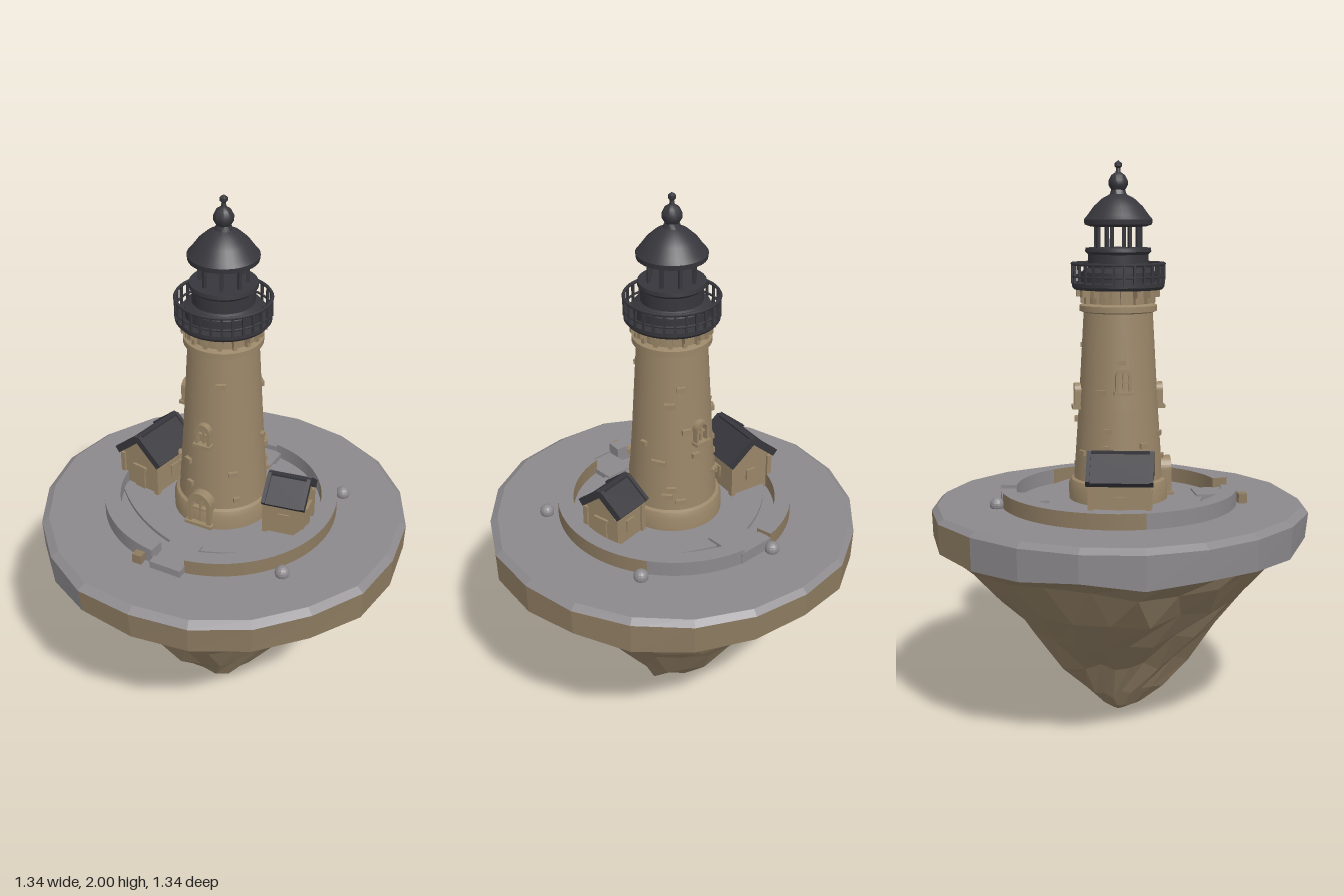
import * as THREE from 'three';
import { toCreasedNormals } from 'three/addons/utils/BufferGeometryUtils.js';

const mat = (name, color, opts = {}) => {
  const m = new THREE.MeshStandardMaterial({ color, ...opts });
  m.name = name;
  return m;
};

export function createModel() {
  const tan = mat('tan stone', 0x9a8668);
  const rockTan = mat('rock tan', 0x8d7b61, { flatShading: true });
  const grey = mat('grey stone', 0x8c898d, { flatShading: true });
  const dark = mat('dark iron', 0x36363c);
  const model = new THREE.Group();
  model.name = 'lighthouseIsland';

  let seed = 11;
  const rnd = () => (seed = (seed * 16807) % 2147483647) / 2147483647;

  const add = (parent, name, geo, material, x = 0, y = 0, z = 0) => {
    const m = new THREE.Mesh(geo, material);
    m.name = name;
    m.position.set(x, y, z);
    parent.add(m);
    return m;
  };
  const box = (parent, name, w, h, d, material, x, y, z) =>
    add(parent, name, new THREE.BoxGeometry(w, h, d), material, x, y, z);
  const lathe = (parent, name, pts, material, seg = 40) =>
    add(parent, name, toCreasedNormals(new THREE.LatheGeometry(
      pts.map(([r, y]) => new THREE.Vector2(r, y)), seg), 0.6), material);
  // Flat plan shape extruded upward
  const slab = (parent, name, shape, h, y, material) => {
    const g = new THREE.ExtrudeGeometry(shape, { depth: h, bevelEnabled: false, curveSegments: 24 });
    return add(parent, name, g.rotateX(-Math.PI / 2), material, 0, y, 0);
  };

  // Floating rock: sections of [y, radius at +x, +z, -x, -z]
  const sections = [
    [0.80, 0.645, 0.65, 0.645, 0.655], [0.782, 0.67, 0.68, 0.67, 0.675],
    [0.68, 0.668, 0.67, 0.668, 0.672], [0.655, 0.61, 0.63, 0.58, 0.63],
    [0.59, 0.53, 0.55, 0.49, 0.54], [0.465, 0.434, 0.434, 0.41, 0.44],
    [0.34, 0.30, 0.345, 0.285, 0.34], [0.21, 0.225, 0.25, 0.155, 0.24],
    [0.09, 0.14, 0.17, 0.095, 0.13], [0.03, 0.055, 0.09, 0.06, 0.06],
    [0, 0.015, 0.02, 0.015, 0.015]];
  const N = 20;
  const ridge = Array.from({ length: N }, () => rnd() - 0.5);
  const rings = sections.map(([y, px, pz, nx, nz], i) => Array.from({ length: N }, (_, j) => {
    const a = (j + (i > 2 ? (i % 2) * 0.4 : 0)) / N * Math.PI * 2;
    const s = Math.sin(a), c = Math.cos(a);
    let r = (s > 0 ? px : nx) * s * s + (c > 0 ? pz : nz) * c * c;
    r *= i < 3 ? 1 + ridge[j] * 0.025 : 1 + ridge[j] * 0.13 + (rnd() - 0.5) * 0.07;
    const dy = i === 2 ? ridge[(j + 5) % N] * 0.03 : i > 3 && i < 9 ? (rnd() - 0.5) * 0.04 : 0;
    return [r * s, y + dy, r * c];
  }));
  const faces = { grey: [], tan: [] };
  for (let j = 0; j < N; j++) {
    const k = (j + 1) % N;
    faces.grey.push(...rings[0][j], ...rings[0][k], 0, 0.8, 0);
    faces.tan.push(...rings[10][k], ...rings[10][j], 0, 0, 0);
    for (let i = 0; i < rings.length - 1; i++) {
      const [A, B, C, D] = [rings[i][j], rings[i][k], rings[i + 1][j], rings[i + 1][k]];
      const patch = i === 0 || (i === 1 && j >= 12 && j <= 18);
      faces[patch ? 'grey' : 'tan'].push(...A, ...C, ...B, ...C, ...D, ...B);
    }
  }
  const faceted = (name, list, material) => {
    const g = new THREE.BufferGeometry();
    g.setAttribute('position', new THREE.Float32BufferAttribute(list, 3));
    g.computeVertexNormals();
    add(model, name, g, material);
  };
  faceted('islandTop', faces.grey, grey);
  faceted('islandRock', faces.tan, rockTan);

  // Ring wall in arcs, tan or grey on the sides
  const arc = (from, to, side) => {
    const a = from * Math.PI / 180, b = to * Math.PI / 180, s = new THREE.Shape();
    s.absarc(-0.01, 0, 0.425, a, b, false);
    s.absarc(-0.01, 0, 0.368, b, a, true);
    slab(model, 'ringWall', s, 0.057, 0.798, [grey, side]);
  };
  arc(-79, 35, rockTan);
  arc(35, 82, grey);
  arc(100, 185, rockTan);
  arc(185, 264, grey);

  // Courtyard paving, paths and steps
  const court = new THREE.Shape();
  court.moveTo(-0.37, 0.1);
  court.lineTo(-0.37, -0.1);
  court.quadraticCurveTo(-0.23, -0.25, -0.05, -0.3);
  court.lineTo(0.07, -0.3);
  court.quadraticCurveTo(0.23, -0.25, 0.36, -0.1);
  court.lineTo(0.36, 0.1);
  court.quadraticCurveTo(0.22, 0.25, 0.06, 0.3);
  court.lineTo(-0.08, 0.3);
  court.quadraticCurveTo(-0.25, 0.25, -0.37, 0.1);
  slab(model, 'courtyard', court, 0.015, 0.798, grey);
  box(model, 'frontPath', 0.115, 0.02, 0.16, grey, 0.01, 0.81, 0.36);
  box(model, 'frontStep', 0.12, 0.03, 0.035, grey, 0.01, 0.812, 0.43);
  box(model, 'backPath', 0.14, 0.025, 0.13, grey, -0.01, 0.81, -0.32);
  box(model, 'backStep', 0.14, 0.045, 0.055, grey, -0.01, 0.82, -0.395);
  box(model, 'gatePost', 0.035, 0.04, 0.03, rockTan, -0.1, 0.815, 0.435);
  for (const [x, z] of [[-0.07, -0.44], [0.37, -0.25], [0.37, 0.27]])
    add(model, 'roundStone', new THREE.SphereGeometry(0.026, 14, 10), grey, x, 0.812, z);

  // Tower shaft with plinth and cornice
  const tower = new THREE.Group();
  tower.name = 'tower';
  model.add(tower);
  lathe(tower, 'shaft', [[0.178, 0.798], [0.178, 0.865], [0.17, 0.885], [0.159, 0.89], [0.141, 1.15],
    [0.122, 1.48], [0.137, 1.485], [0.137, 1.505], [0.118, 1.512], [0.118, 1.57]], tan);
  const around = (n, fn) => {
    for (let i = 0; i < n; i++) {
      const g = new THREE.Group();
      g.rotation.y = i / n * Math.PI * 2;
      tower.add(g);
      fn(g);
    }
  };
  around(16, g => {
    g.name = 'corbel';
    box(g, 'corbelUpper', 0.018, 0.025, 0.035, tan, 0, 1.547, 0.13);
    box(g, 'corbelLower', 0.014, 0.025, 0.02, tan, 0, 1.525, 0.122);
  });
  const radiusAt = y => 0.159 - 0.037 * (y - 0.89) / 0.59;
  for (let i = 0; i < 26; i++) {
    const g = new THREE.Group(), y = i < 14 ? 0.91 + rnd() * 0.13 : 1.05 + rnd() * 0.38;
    g.name = 'raisedStone';
    g.rotation.y = rnd() * Math.PI * 2;
    box(g, 'stoneBlock', 0.022 + rnd() * 0.016, 0.018, 0.02, tan, 0, y, radiusAt(y));
    tower.add(g);
  }

  // Arched frame used for the door and windows
  const archPath = (P, w, h) => {
    const p = new P();
    p.moveTo(-w / 2, 0);
    p.lineTo(w / 2, 0);
    p.lineTo(w / 2, h - w / 2);
    p.absarc(0, h - w / 2, w / 2, 0, Math.PI, false);
    p.closePath();
    return p;
  };
  const opening = (name, w, h, y, turn, r) => {
    const g = new THREE.Group();
    g.name = name;
    g.rotation.y = turn;
    tower.add(g);
    const s = archPath(THREE.Shape, w, h);
    s.holes.push(archPath(THREE.Path, w * 0.66, h * 0.84));
    const opt = { depth: 0.04, bevelEnabled: false, curveSegments: 8 };
    add(g, 'frame', new THREE.ExtrudeGeometry(s, opt), tan, 0, y, r - 0.025);
    box(g, 'sill', w * 1.2, 0.012, 0.045, tan, 0, y, r);
    box(g, 'mullion', 0.007, h * 0.85, 0.02, tan, 0, y + h * 0.45, r - 0.004);
    box(g, 'crossbar', w * 0.7, 0.007, 0.02, tan, 0, y + h * 0.45, r - 0.004);
  };
  opening('door', 0.09, 0.13, 0.83, 0, 0.173);
  opening('frontWindow', 0.055, 0.085, 1.145, 0, 0.143);
  opening('backWindow', 0.055, 0.085, 1.145, Math.PI, 0.143);
  opening('leftWindow', 0.055, 0.085, 1.21, -Math.PI / 2, 0.139);

  // Gallery with railing
  lathe(tower, 'galleryAndDrum', [[0.1, 1.56], [0.155, 1.56], [0.163, 1.57], [0.163, 1.583], [0.13, 1.585],
    [0.13, 1.62], [0.106, 1.635], [0.106, 1.68], [0.116, 1.69], [0.114, 1.703], [0, 1.705]], dark);
  for (const y of [1.605, 1.648]) {
    const rail = add(tower, 'rail', new THREE.TorusGeometry(0.161, y > 1.62 ? 0.006 : 0.004, 6, 40), dark, 0, y, 0);
    rail.rotation.x = Math.PI / 2;
  }
  around(28, g => {
    g.name = 'baluster';
    box(g, 'balusterBar', 0.008, 0.07, 0.008, dark, 0, 1.615, 0.161);
  });

  // Open lantern room and domed roof
  around(8, g => {
    g.name = 'lanternPost';
    g.rotation.y += Math.PI / 8;
    box(g, 'post', 0.012, 0.09, 0.012, dark, 0, 1.745, 0.08);
  });
  lathe(tower, 'lanternRoof', [[0, 1.775], [0.095, 1.775], [0.118, 1.783], [0.12, 1.8], [0.107, 1.815],
    [0.085, 1.845], [0.055, 1.872], [0.03, 1.885], [0.024, 1.9], [0.033, 1.915], [0.034, 1.93],
    [0.024, 1.95], [0.009, 1.96], [0.007, 1.974], [0.013, 1.98], [0.013, 1.99], [0, 2]], dark, 32);

  // Gabled cottages, ridge along local z
  const house = (name, x, z, turn, w, len, eave, apex) => {
    const h = new THREE.Group();
    h.name = name;
    h.position.set(x, 0, z);
    h.rotation.y = turn;
    model.add(h);
    const ww = w * 0.8, wl = len * 0.86, base = 0.8, slope = (apex - eave) / (w / 2);
    const s = new THREE.Shape();
    s.moveTo(-ww / 2, base);
    s.lineTo(ww / 2, base);
    s.lineTo(ww / 2, apex - 0.016 - slope * ww / 2);
    s.lineTo(0, apex - 0.016);
    s.lineTo(-ww / 2, apex - 0.016 - slope * ww / 2);
    s.closePath();
    add(h, 'walls', new THREE.ExtrudeGeometry(s, { depth: wl, bevelEnabled: false }), tan, 0, 0, -wl / 2);
    const tilt = Math.atan(slope), run = w / 2 / Math.cos(tilt);
    for (const side of [-1, 1]) {
      const r = new THREE.Group();
      r.name = 'roofSide';
      r.position.set(side * w / 4, (eave + apex) / 2, 0);
      r.rotation.z = -side * tilt;
      h.add(r);
      box(r, 'roofSlab', run, 0.02, len, dark, 0, -0.004, 0);
      for (const e of [-1, 1]) box(r, 'roofEdge', run, 0.01, 0.014, dark, 0, 0.008, e * (len / 2 - 0.007));
      box(h, 'sideWindow', 0.012, 0.045, 0.04, tan, side * ww / 2, 0.875, 0);
      for (const e of [-1, 1]) box(h, 'cornerStone', 0.018, eave - base - 0.01, 0.018, tan,
        side * ww / 2, (eave + base - 0.01) / 2, e * wl / 2);
    }
    box(h, 'ridgeCap', 0.02, 0.014, len, dark, 0, apex, 0);
    box(h, 'cottageDoor', 0.045, 0.095, 0.014, tan, 0, 0.85, wl / 2);
    box(h, 'doorLintel', 0.06, 0.012, 0.02, tan, 0, 0.902, wl / 2);
    box(h, 'rearWindow', 0.04, 0.045, 0.014, tan, 0, 0.88, -wl / 2);
  };
  house('largeCottage', -0.296, -0.03, -0.175, 0.2, 0.225, 0.945, 1.03);
  house('smallCottage', 0.268, 0.008, 0.17 + Math.PI / 2, 0.175, 0.155, 0.94, 1.012);

  return model;
}
